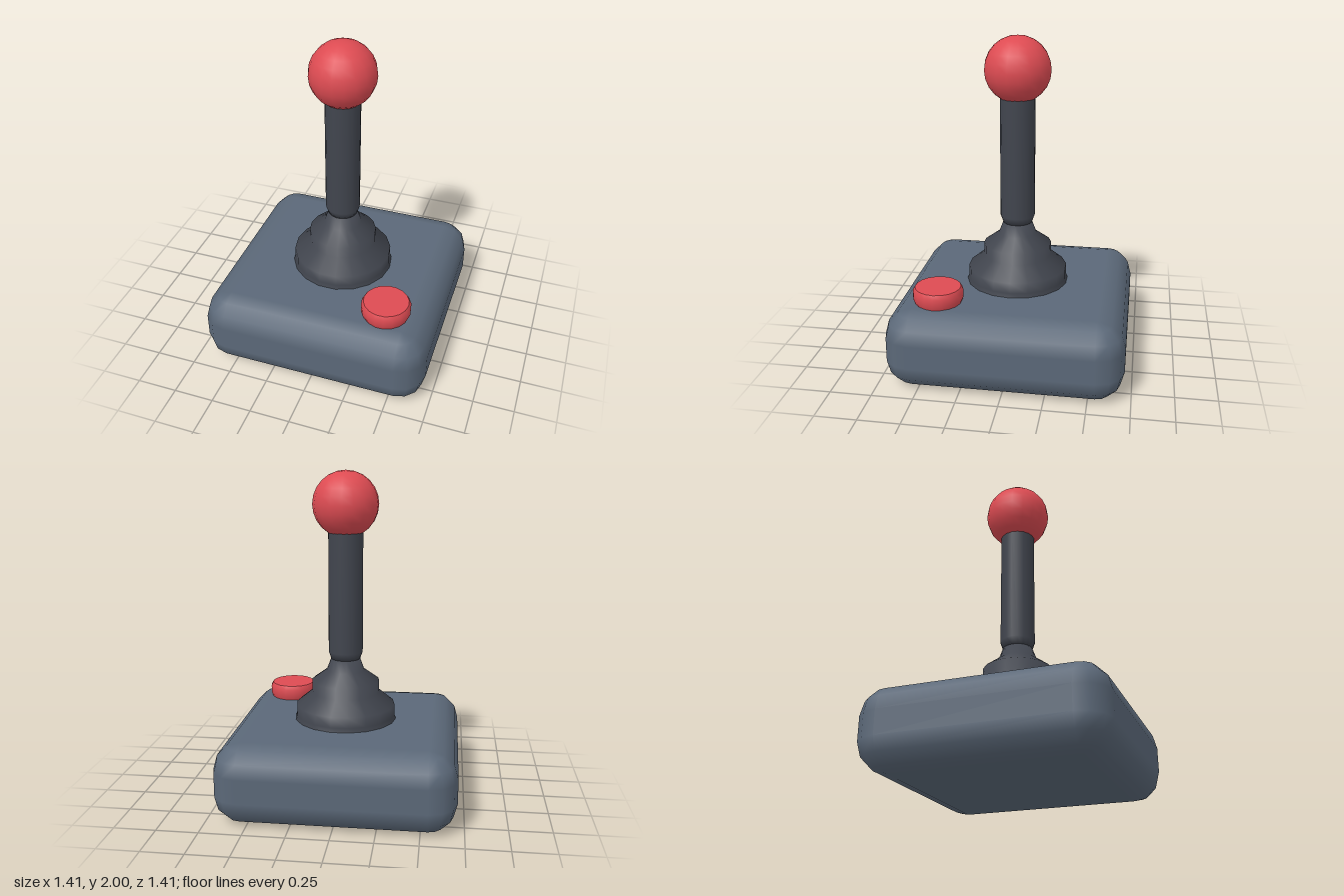
import * as THREE from 'three';

const SIDES = 18;

function material(name, color) {
  const m = new THREE.MeshStandardMaterial({ color });
  m.name = name;
  return m;
}

// Box with three-step rounded edges, built from stacked rounded-square loops.
function roundedBlock(half, height, radius, steps) {
  const positions = [], normals = [], index = [];
  const ring = 4 * (steps + 1);
  const inner = half - radius;
  const rows = 2 * (steps + 1);
  for (let row = 0; row < rows; row++) {
    const lower = row <= steps;
    const phi = (lower ? row - steps : row - steps - 1) * Math.PI / 2 / steps;
    const y = (lower ? radius : height - radius) + radius * Math.sin(phi);
    for (let c = 0; c < 4; c++) {
      const mid = (c + 0.5) * Math.PI / 2;
      for (let k = 0; k <= steps; k++) {
        const a = (c + k / steps) * Math.PI / 2;
        const nx = Math.cos(phi) * Math.cos(a), nz = Math.cos(phi) * Math.sin(a);
        positions.push(
          Math.sign(Math.cos(mid)) * inner + radius * nx, y,
          Math.sign(Math.sin(mid)) * inner + radius * nz);
        normals.push(nx, Math.sin(phi), nz);
      }
    }
  }
  for (let row = 0; row < rows - 1; row++) {
    for (let i = 0; i < ring; i++) {
      const a = row * ring + i, b = row * ring + (i + 1) % ring;
      index.push(a, a + ring, b, b, a + ring, b + ring);
    }
  }
  // flat underside and top
  const q = [0, 1, 2, 3].map(c => c * (steps + 1));
  const t = q.map(i => i + (rows - 1) * ring);
  index.push(q[0], q[1], q[2], q[0], q[2], q[3], t[0], t[2], t[1], t[0], t[3], t[2]);
  const g = new THREE.BufferGeometry();
  g.setAttribute('position', new THREE.Float32BufferAttribute(positions, 3));
  g.setAttribute('normal', new THREE.Float32BufferAttribute(normals, 3));
  g.setIndex(index);
  return g;
}

// Turned part from [radius, height] pairs, with a vertex on the x axis.
function turned(profile) {
  const points = profile.map(([r, y]) => new THREE.Vector2(r, y));
  return new THREE.LatheGeometry(points, SIDES).rotateY(Math.PI / 2);
}

export function createModel() {
  const group = new THREE.Group();
  group.name = 'joystick';
  const slate = material('slate base', 0x5b6878);
  const dark = material('dark rubber', 0x41454e);
  const red = material('red plastic', 0xdd4b52);

  function add(name, geometry, mat, x = 0, y = 0, z = 0) {
    const mesh = new THREE.Mesh(geometry, mat);
    mesh.name = name;
    mesh.position.set(x, y, z);
    group.add(mesh);
    return mesh;
  }

  add('base', roundedBlock(0.707, 0.475, 0.165, 3), slate);

  // stepped rubber boot around the stick
  add('boot', turned([
    [0.322, 0.46], [0.307, 0.5], [0.307, 0.565], [0.21, 0.645],
    [0.21, 0.715], [0.117, 0.783], [0.09, 0.855], [0, 0.855],
  ]), dark);

  add('shaft', turned([
    [0, 0.85], [0.09, 0.855], [0.106, 0.9], [0.106, 1.66],
  ]), dark);

  add('knob', new THREE.SphereGeometry(0.2, SIDES, 12).rotateY(Math.PI / 2), red, 0, 1.8, 0);

  // fire button: rounded side wall with a separate crisp top
  const button = new THREE.Group();
  button.name = 'fireButton';
  button.position.set(0.412, 0, 0.415);
  const wall = new THREE.Mesh(turned([
    [0.135, 0.465], [0.15, 0.5], [0.151, 0.545], [0.137, 0.57],
  ]), red);
  wall.name = 'buttonWall';
  const cap = new THREE.Mesh(new THREE.CircleGeometry(0.137, SIDES).rotateX(-Math.PI / 2), red);
  cap.name = 'buttonTop';
  cap.position.y = 0.57;
  button.add(wall, cap);
  group.add(button);

  return group;
}
